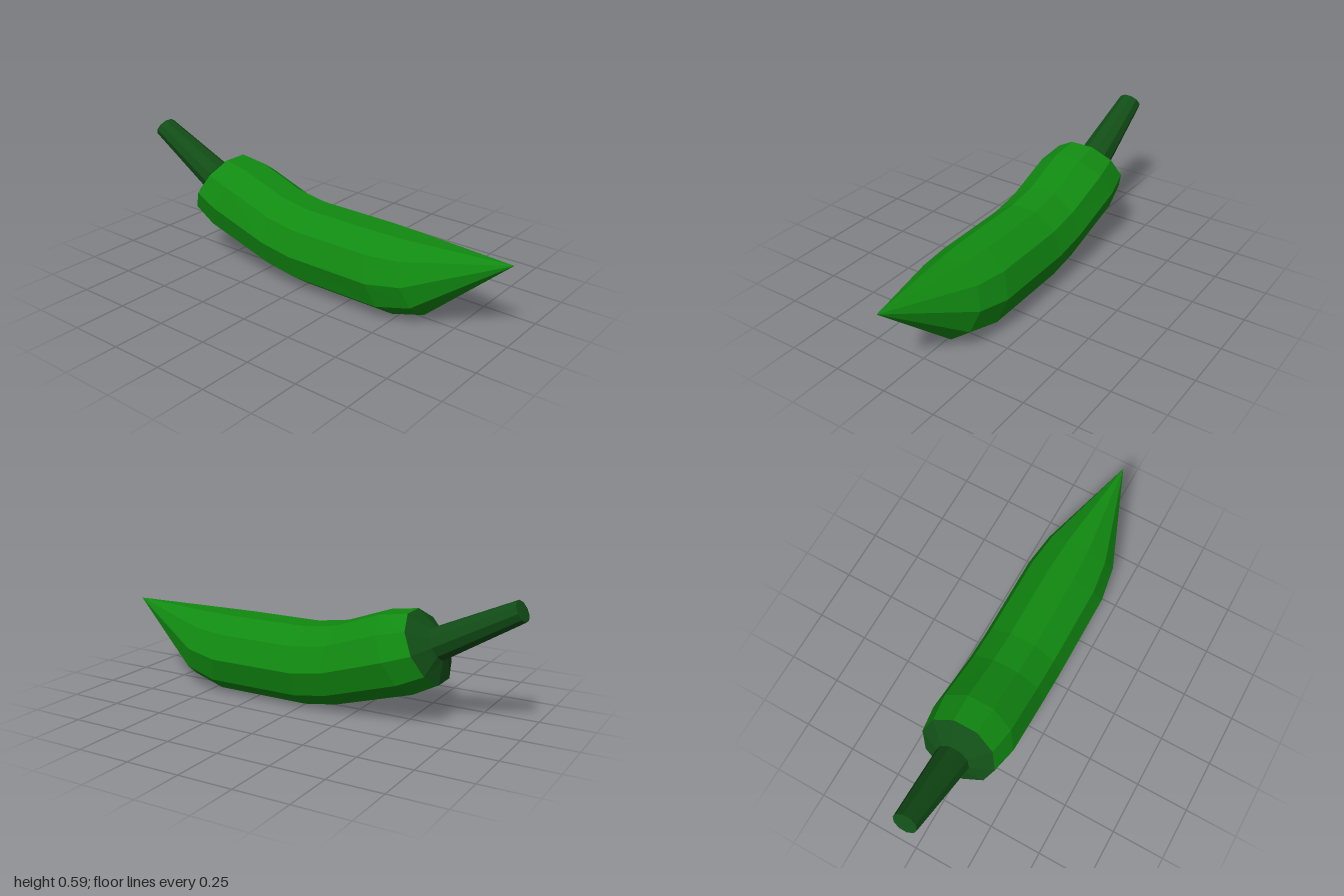
import * as THREE from 'three';

const SIDES = 10;

// Each ring is [topX, topY, bottomX, bottomY, halfWidth]; a width of 0 is a point.
function ringPoint([tx, ty, bx, by, w], k) {
  const a = ((k + 0.5) / SIDES) * Math.PI * 2;
  const t = Math.cos(a) / Math.cos(Math.PI / SIDES);
  return [
    (tx + bx) / 2 + (t * (tx - bx)) / 2,
    (ty + by) / 2 + (t * (ty - by)) / 2,
    w * Math.sin(a),
  ];
}

// Skin the rings, ordered from -x to +x, with flat faces
function loft(name, rings, material) {
  const pos = [];
  for (let i = 0; i < rings.length - 1; i++) {
    for (let k = 0; k < SIDES; k++) {
      const a = ringPoint(rings[i], k);
      const b = ringPoint(rings[i], k + 1);
      const c = ringPoint(rings[i + 1], k + 1);
      const d = ringPoint(rings[i + 1], k);
      if (rings[i][4] > 0) pos.push(...a, ...b, ...c);
      if (rings[i + 1][4] > 0) pos.push(...(rings[i][4] > 0 ? a : b), ...c, ...d);
    }
  }
  const geometry = new THREE.BufferGeometry();
  geometry.setAttribute('position', new THREE.Float32BufferAttribute(pos, 3));
  geometry.computeVertexNormals();
  const mesh = new THREE.Mesh(geometry, material);
  mesh.name = name;
  return mesh;
}

export function createModel() {
  const skin = new THREE.MeshStandardMaterial({ color: 0x118a11, flatShading: true });
  const stalk = new THREE.MeshStandardMaterial({ color: 0x114d16, flatShading: true });

  const stemEnd = [-0.955, 0.59, -1.0, 0.508, 0.057];
  const stemBase = [-0.595, 0.428, -0.655, 0.298, 0.082];
  const shoulder = [-0.5, 0.49, -0.653, 0.198, 0.182];

  const group = new THREE.Group();
  group.name = 'chiliPepper';

  // Curved body running to a pointed tip
  group.add(loft('body', [
    shoulder,
    [-0.37, 0.47, -0.535, 0.137, 0.204],
    [-0.155, 0.392, -0.16, 0.025, 0.2],
    [0, 0.368, 0, 0, 0.2],
    [0.37, 0.366, 0.47, 0, 0.2],
    [0.53, 0.365, 0.63, 0.045, 0.174],
    [1.0, 0.37, 1.0, 0.37, 0],
  ], skin));

  // Cap joining the body to the stem
  group.add(loft('cap', [stemBase, shoulder], stalk));

  // Tapered stem with a closed end
  group.add(loft('stem', [
    [-0.978, 0.549, -0.978, 0.549, 0],
    stemEnd,
    stemBase,
  ], stalk));

  return group;
}
